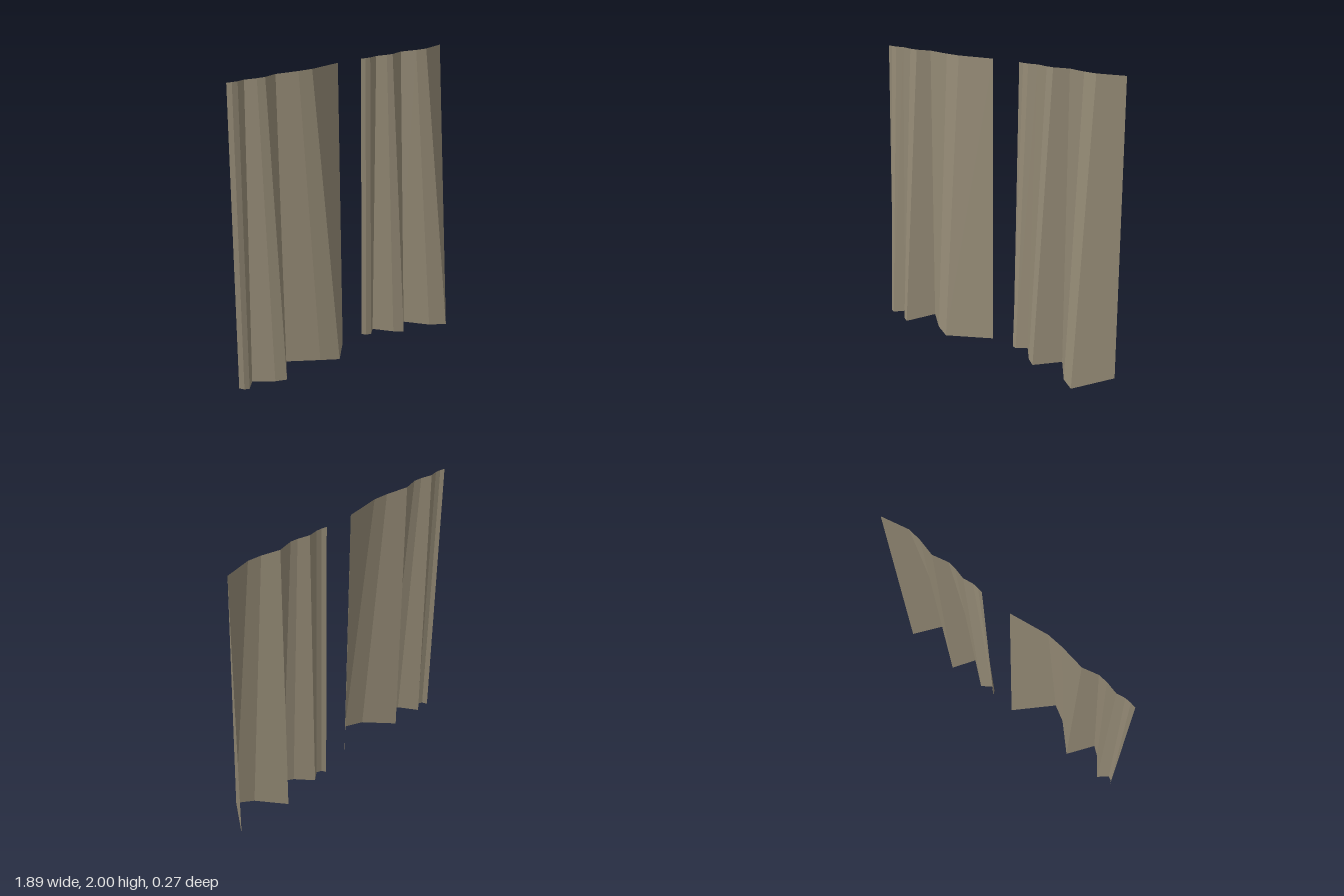
import * as THREE from 'three';

// Each fold line: [top x, top z, bottom x, bottom y, bottom z]
const rightFolds = [
  [-0.93, -0.135, -0.945, 0.025, -0.115],
  [-0.895, -0.128, -0.93, 0.025, -0.08],
  [-0.855, -0.125, -0.90, 0.025, -0.065],
  [-0.80, -0.135, -0.835, 0.03, -0.12],
  [-0.72, -0.115, -0.74, 0.043, 0.0],
  [-0.66, -0.11, -0.68, 0.05, 0.045],
  [-0.56, -0.135, -0.56, 0.07, -0.135],
  [-0.40, -0.108, -0.385, 0.083, 0.04],
  [-0.295, -0.10, -0.27, 0.073, 0.105],
  [-0.045, -0.135, -0.03, 0.03, -0.12],
];
const leftFolds = [
  [0.16, -0.135, 0.15, 0.04, -0.115],
  [0.195, -0.128, 0.165, 0.04, -0.085],
  [0.235, -0.125, 0.20, 0.04, -0.07],
  [0.30, -0.135, 0.265, 0.04, -0.12],
  [0.38, -0.115, 0.355, 0.032, 0.0],
  [0.43, -0.11, 0.415, 0.025, 0.045],
  [0.535, -0.135, 0.535, 0.01, -0.135],
  [0.655, -0.105, 0.67, 0.002, 0.06],
  [0.745, -0.095, 0.77, 0.0, 0.135],
  [0.93, -0.135, 0.945, 0.02, -0.12],
];

// Pleated sheet lofted from a shallow top edge to a deeply folded hem
function curtain(name, folds, material) {
  const positions = [];
  const normals = [];
  const top = ([x, z]) => new THREE.Vector3(x, 2, z);
  const hem = ([, , x, y, z]) => new THREE.Vector3(x, y, z);
  for (let i = 0; i < folds.length - 1; i++) {
    const a = top(folds[i]), b = hem(folds[i]);
    const c = hem(folds[i + 1]), d = top(folds[i + 1]);
    // One normal per pleat face, so each twisted face reads as a single plane
    const normal = c.clone().sub(a).cross(d.clone().sub(b)).normalize();
    for (const p of [a, b, d, b, c, d]) {
      positions.push(p.x, p.y, p.z);
      normals.push(normal.x, normal.y, normal.z);
    }
  }
  const geometry = new THREE.BufferGeometry();
  geometry.setAttribute('position', new THREE.Float32BufferAttribute(positions, 3));
  geometry.setAttribute('normal', new THREE.Float32BufferAttribute(normals, 3));
  const mesh = new THREE.Mesh(geometry, material);
  mesh.name = name;
  return mesh;
}

export function createModel() {
  const group = new THREE.Group();
  group.name = 'curtains';
  const cloth = new THREE.MeshStandardMaterial({
    name: 'taupe cloth', color: 0x958b76, side: THREE.DoubleSide,
  });
  group.add(curtain('rightCurtain', rightFolds, cloth));
  group.add(curtain('leftCurtain', leftFolds, cloth));
  return group;
}
